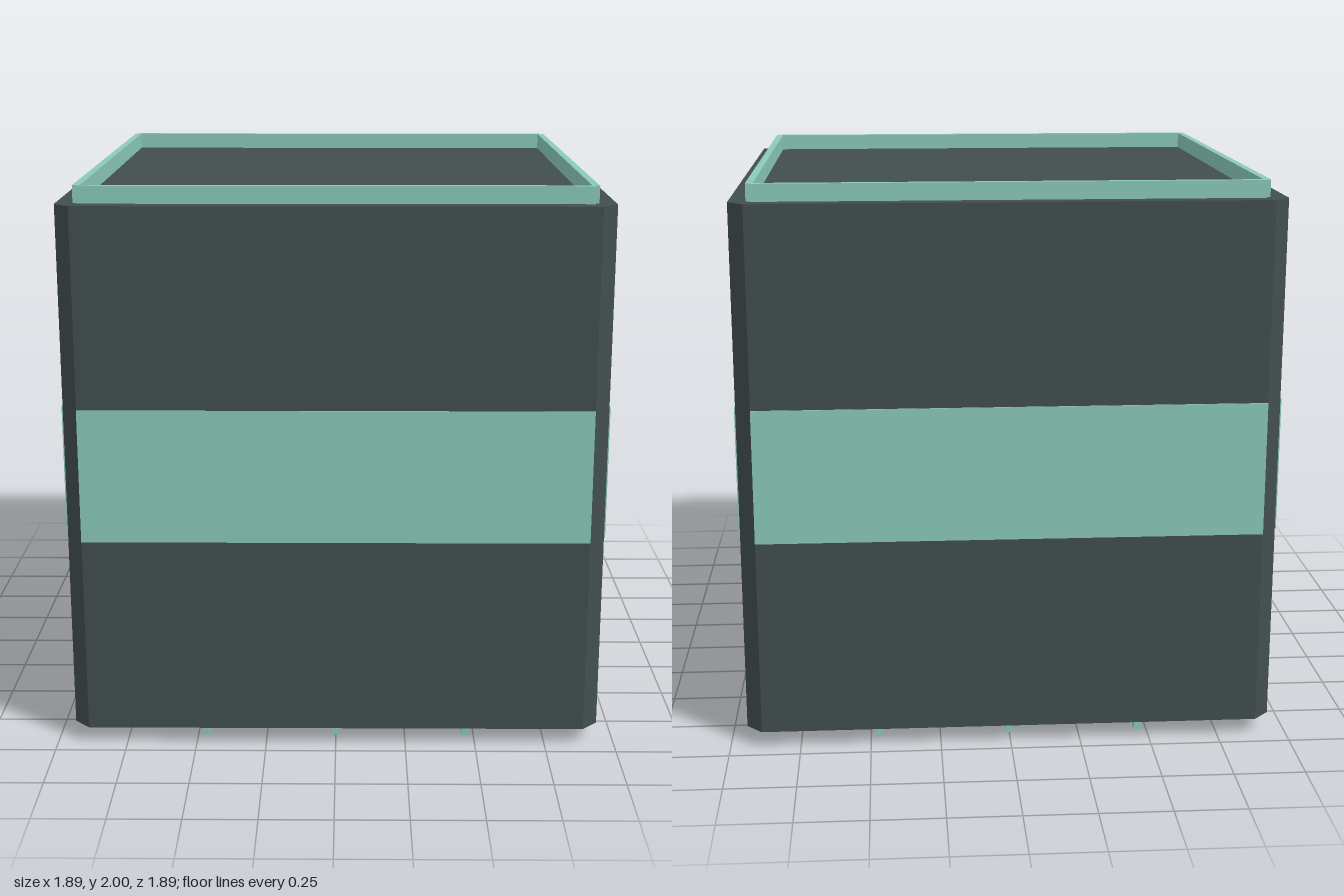
import * as THREE from 'three';

export function createModel() {
  const model = new THREE.Group();
  model.name = 'bandedCrate';
  const dark = new THREE.MeshStandardMaterial({ color: 0x414e4d });
  dark.name = 'dark slate';
  const mint = new THREE.MeshStandardMaterial({ color: 0x8bcab9 });
  mint.name = 'mint green';

  const box = (name, size, pos, parent) => {
    const mesh = new THREE.Mesh(new THREE.BoxGeometry(...size), mint);
    mesh.name = name;
    mesh.position.set(...pos);
    parent.add(mesh);
  };

  // Body: a square with cut corners, extruded upwards
  const h = 0.942, c = 0.887;
  const outline = new THREE.Shape([
    [c, -h], [h, -c], [h, c], [c, h], [-c, h], [-h, c], [-h, -c], [-c, -h],
  ].map(([x, y]) => new THREE.Vector2(x, y)));
  const bodyGeometry = new THREE.ExtrudeGeometry(outline, { depth: 1.88, bevelEnabled: false });
  bodyGeometry.rotateX(-Math.PI / 2);
  const body = new THREE.Mesh(bodyGeometry, dark);
  body.name = 'body';
  body.position.y = 0.06;
  model.add(body);

  // Each side carries one band plate and one rail of the top rim
  for (let i = 0; i < 4; i++) {
    const side = new THREE.Group();
    side.name = 'side' + (i + 1);
    side.rotation.y = i * Math.PI / 2;
    box('band', [2 * c, 0.475, 0.008], [0, 1.0025, h], side);
    box('rimRail', [1.736, 0.07, 0.025], [0, 1.965, 0.87], side);
    model.add(side);
  }

  // Crossed runners underneath
  for (const p of [-0.47, 0, 0.47]) {
    box('lengthwiseRunner', [0.026, 0.07, 1.736], [p, 0.035, 0], model);
    box('crosswiseRunner', [1.736, 0.07, 0.026], [0, 0.035, p], model);
  }

  return model;
}
